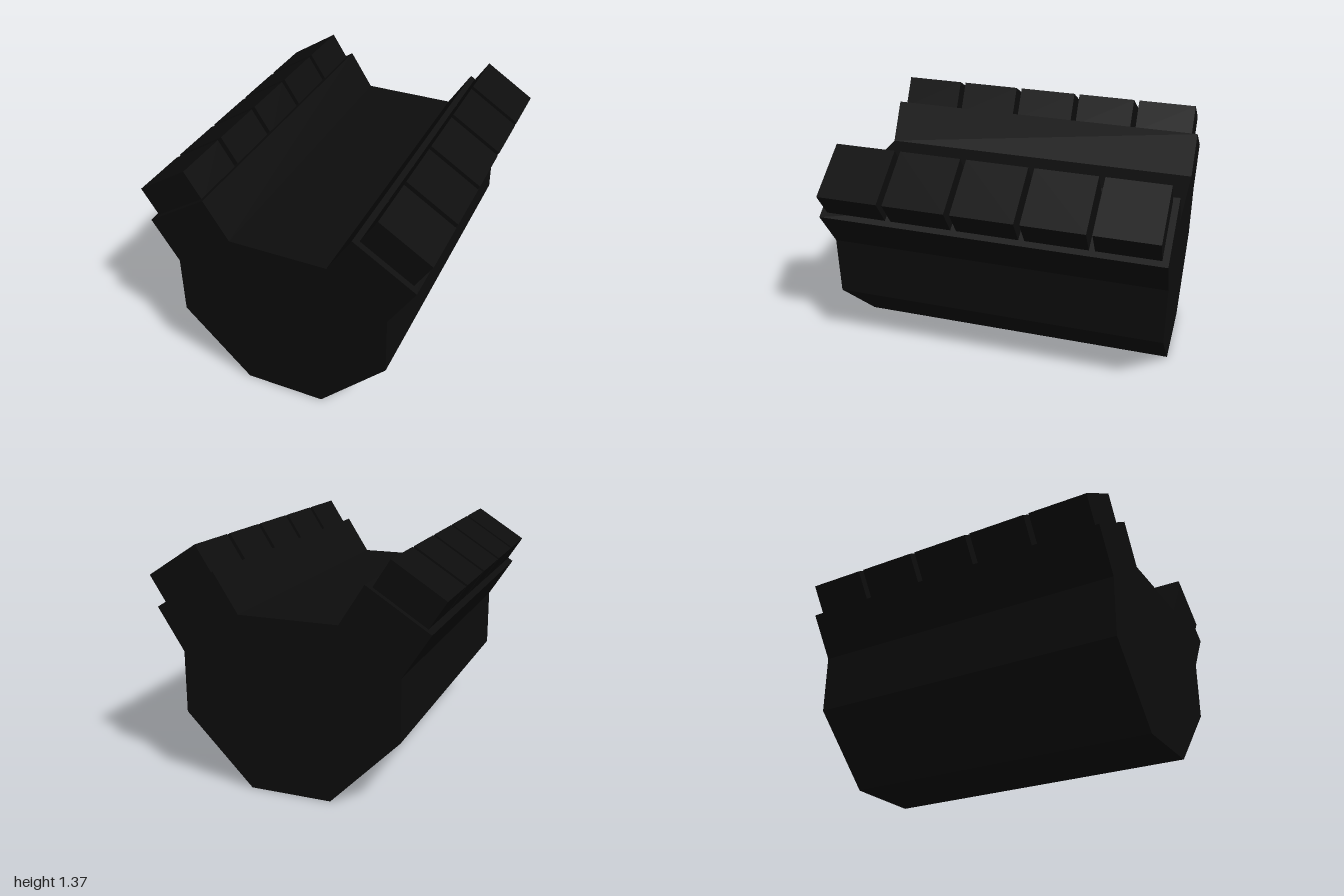
import * as THREE from 'three';

export function createModel() {
  const group = new THREE.Group();
  const black = new THREE.MeshStandardMaterial({ color: 0x0d0d0d });
  black.name = 'matte black';

  // Rail body: one half of the cross-section, mirrored and extruded along z
  const half = [[0.24, 0], [0.642, 0.408], [0.642, 0.768], [0.798, 1.012], [0.438, 1.241], [0.293, 1.014]];
  const outline = [...half, ...half.map(([x, y]) => [-x, y]).reverse()];
  const shape = new THREE.Shape(outline.map(([x, y]) => new THREE.Vector2(x, y)));
  const bodyGeometry = new THREE.ExtrudeGeometry(shape, { depth: 2, bevelEnabled: false });
  bodyGeometry.translate(0, 0, -1);
  const body = new THREE.Mesh(bodyGeometry, black);
  body.name = 'railBody';
  group.add(body);

  // Five tilted blocks on each flared arm, sunk slightly into it
  const blockGeometry = new THREE.BoxGeometry(0.357, 0.2, 0.358);
  for (const side of [1, -1]) {
    const row = new THREE.Group();
    row.name = side > 0 ? 'leftBlocks' : 'rightBlocks';
    for (let i = -2; i <= 2; i++) {
      const block = new THREE.Mesh(blockGeometry, black);
      block.name = 'railBlock';
      block.position.set(side * 0.66, 1.194, i * 0.392);
      block.rotation.z = side * -0.569;
      row.add(block);
    }
    group.add(row);
  }
  return group;
}
